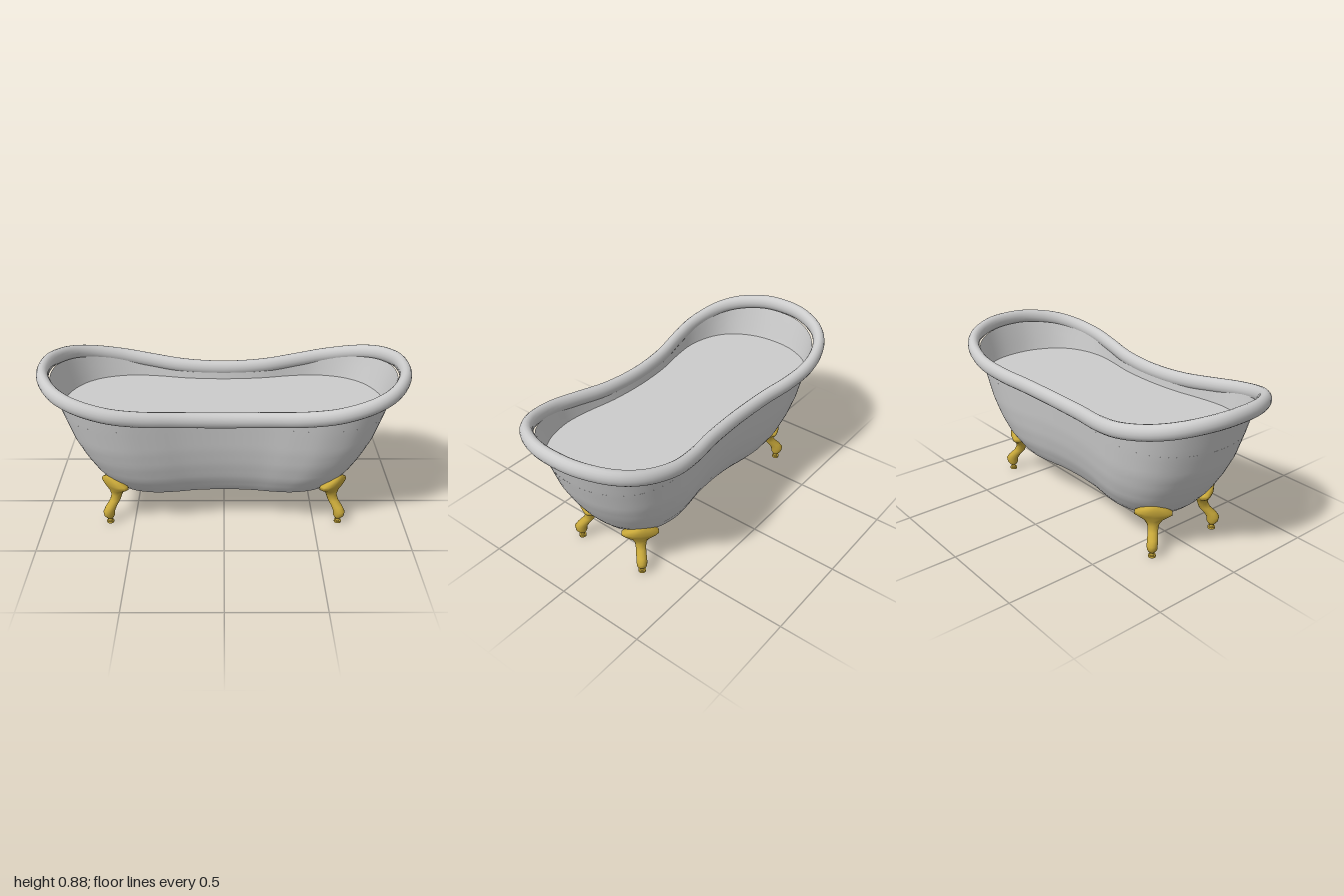
import * as THREE from 'three';

const enamel = new THREE.MeshStandardMaterial({ color: 0xcccccc, side: THREE.DoubleSide });
const brass = new THREE.MeshStandardMaterial({ color: 0xc9a93a });

// Smooth skin over closed rings, each listed from the bottom ring upwards
function loft(rings, wrap = false) {
  const n = rings[0].length, m = rings.length, index = [];
  for (let i = 0; i < (wrap ? m : m - 1); i++) {
    for (let j = 0; j < n; j++) {
      const a = i * n + j, b = i * n + (j + 1) % n;
      const c = ((i + 1) % m) * n + j, d = ((i + 1) % m) * n + (j + 1) % n;
      index.push(a, c, b, b, c, d);
    }
  }
  const geometry = new THREE.BufferGeometry().setFromPoints(rings.flat());
  geometry.setIndex(index);
  geometry.computeVertexNormals();
  return geometry;
}

function part(name, geometry, material) {
  const mesh = new THREE.Mesh(geometry, material);
  mesh.name = name;
  return mesh;
}

// Waisted plan outline, scaled to one unit each way and mirrored from a quarter
const quarter = [[1, 0], [0.976, 0.38], [0.883, 0.745], [0.76, 0.925], [0.6, 1], [0.434, 0.965], [0.24, 0.88], [0, 0.845]];
const half = [...quarter, ...quarter.slice(0, -1).reverse().map(([x, z]) => [-x, z])];
const full = [...half, ...half.slice(1, -1).reverse().map(([x, z]) => [x, -z])];
const outline = new THREE.CatmullRomCurve3(full.map(([x, z]) => new THREE.Vector3(x, 0, z)), true)
  .getPoints(112).slice(0, -1);

// Body half length and half width at each height
const levels = [[0.195, 0.62, 0.225], [0.22, 0.65, 0.247], [0.3, 0.72, 0.295], [0.4, 0.782, 0.33],
  [0.5, 0.832, 0.353], [0.64, 0.88, 0.373], [0.75, 0.912, 0.387], [0.85, 0.942, 0.395]];
function bodyPoint(p, y) {
  let i = 0;
  while (i < levels.length - 2 && y > levels[i + 1][0]) i++;
  const [y0, x0, z0] = levels[i], [y1, x1, z1] = levels[i + 1];
  const t = (y - y0) / (y1 - y0);
  return new THREE.Vector3(p.x * THREE.MathUtils.lerp(x0, x1, t), y, p.z * THREE.MathUtils.lerp(z0, z1, t));
}

const rimHeight = x => 0.698 + 0.155 * x * x;

function bodyGeometry() {
  const rings = [];
  for (let k = 0; k <= 20; k++) {
    rings.push(outline.map(p => bodyPoint(p, THREE.MathUtils.lerp(0.195, rimHeight(p.x * 0.95) - 0.02, k / 20))));
  }
  return loft(rings);
}

// Flat sheet filling the body at one height
function sheetGeometry(y, facing) {
  const shape = new THREE.Shape(outline.map(p => {
    const q = bodyPoint(p, y);
    return new THREE.Vector2(q.x, q.z);
  }));
  return new THREE.ShapeGeometry(shape).rotateX(-facing * Math.PI / 2).translate(0, y, 0);
}

// Rolled rim: oval section carried round the outline
function rimGeometry() {
  const path = outline.map(p => new THREE.Vector3(p.x * 0.967, rimHeight(p.x * 0.967), p.z * 0.41));
  const rings = [];
  for (let k = 0; k < 16; k++) {
    const a = k / 16 * Math.PI * 2;
    rings.push(path.map((p, i) => {
      const t = path[(i + 1) % path.length].clone().sub(path.at(i - 1));
      const out = new THREE.Vector3(t.z, 0, -t.x).normalize();
      return p.clone().addScaledVector(out, Math.cos(a) * 0.033).add(new THREE.Vector3(0, Math.sin(a) * 0.042, 0));
    }));
  }
  return loft(rings, true);
}

// Curved leg along +x: height, outward offset, radius outward, radius sideways
const legSections = [
  [0.028, 0.073, 0.001, 0.001], [0.03, 0.073, 0.018, 0.018], [0.047, 0.076, 0.031, 0.027],
  [0.075, 0.077, 0.035, 0.029], [0.1, 0.06, 0.034, 0.028], [0.13, 0.03, 0.031, 0.027],
  [0.16, 0.017, 0.029, 0.031], [0.19, 0.016, 0.036, 0.05], [0.222, 0.02, 0.045, 0.1],
  [0.242, 0.027, 0.047, 0.098], [0.268, 0.04, 0.035, 0.058], [0.287, 0.05, 0.02, 0.024],
  [0.29, 0.05, 0.001, 0.001]];
function legGeometry() {
  return loft(legSections.map(([y, u, ru, rv]) => Array.from({ length: 14 }, (_, j) => {
    const a = j / 14 * Math.PI * 2;
    return new THREE.Vector3(u + ru * Math.cos(a), y, rv * Math.sin(a));
  })));
}

export function createModel() {
  const model = new THREE.Group();
  model.name = 'bathtub';
  model.add(part('body', bodyGeometry(), enamel));
  model.add(part('underside', sheetGeometry(0.195, -1), enamel));
  model.add(part('waterSurface', sheetGeometry(0.64, 1), enamel));
  model.add(part('rim', rimGeometry(), enamel));

  // Four legs on small floor pads, pointing out at the corners
  const leg = legGeometry();
  const pad = new THREE.CylinderGeometry(0.02, 0.02, 0.011, 14).translate(0.073, 0.0055, 0);
  const stem = new THREE.CylinderGeometry(0.01, 0.012, 0.026, 12).translate(0.073, 0.022, 0);
  for (const sx of [1, -1]) {
    for (const sz of [1, -1]) {
      const foot = new THREE.Group();
      foot.name = (sz > 0 ? 'front' : 'back') + (sx > 0 ? 'Left' : 'Right') + 'Foot';
      foot.add(part('leg', leg, brass), part('floorPad', pad, brass), part('stem', stem, brass));
      foot.position.set(sx * 0.585, 0, sz * 0.167);
      foot.rotation.y = -Math.atan2(sz, sx);
      model.add(foot);
    }
  }
  return model;
}
